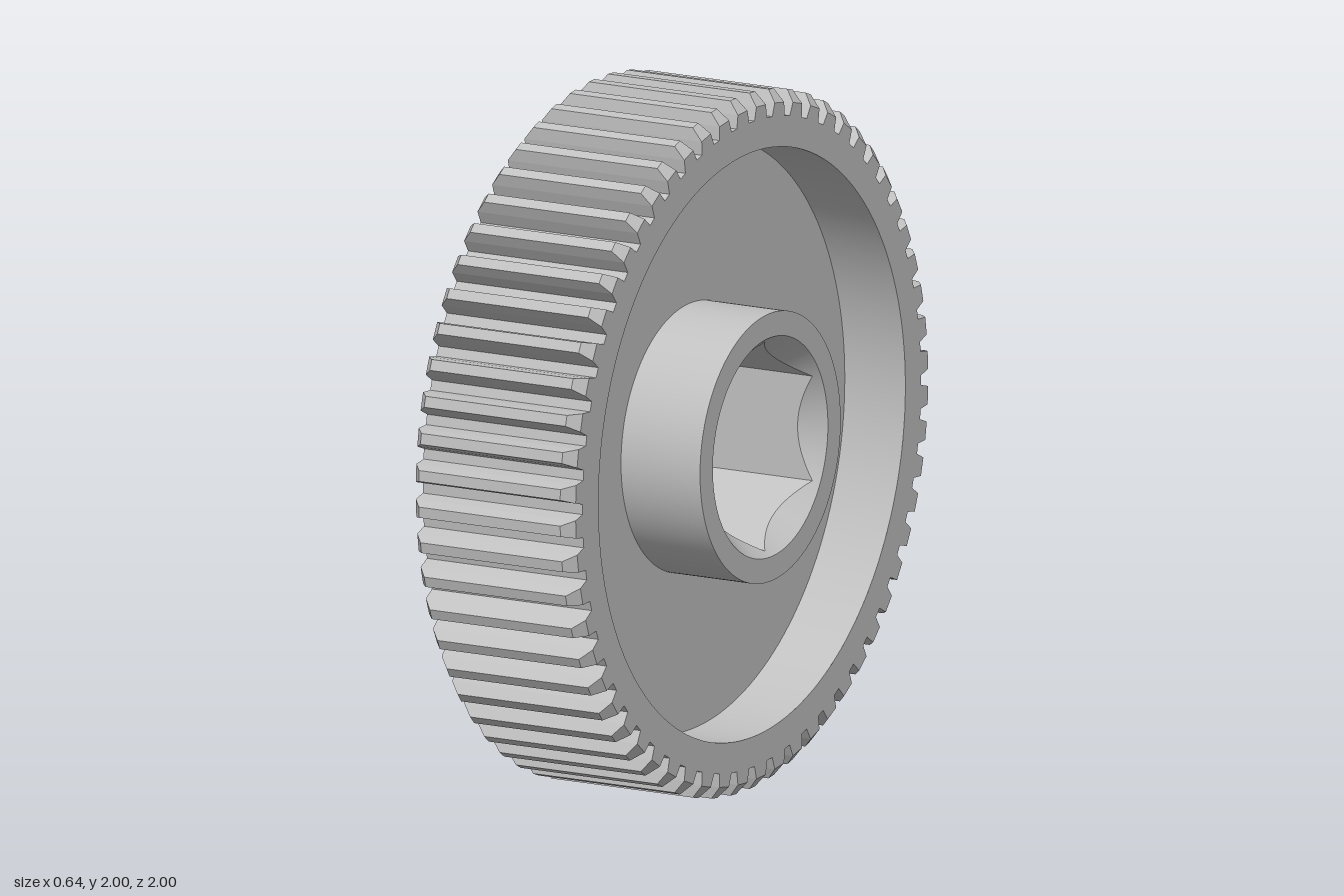
import * as THREE from 'three';
import { toCreasedNormals } from 'three/addons/utils/BufferGeometryUtils.js';

const TEETH = 60, RIM_X = 0.26, CHAMFER = 0.03;
const RECESS_R = 0.84, WEB_X = 0.063;
const HUB_R = 0.385, HUB_X = 0.32, MOUTH_R = 0.315, HEX_FLAT = 0.26;

// Point at radius r and angle t around the x axis
const polar = (r, t, x) => [x, r * Math.cos(t), r * Math.sin(t)];

// Skin over closed rings; rings running toward +x face outward
function loft(rings, crease) {
  const pos = [];
  for (let k = 0; k < rings.length - 1; k++) {
    const a = rings[k], b = rings[k + 1], n = a.length;
    for (let i = 0; i < n; i++) {
      const j = (i + 1) % n;
      pos.push(...a[i], ...a[j], ...b[j], ...a[i], ...b[j], ...b[i]);
    }
  }
  const geo = new THREE.BufferGeometry();
  geo.setAttribute('position', new THREE.Float32BufferAttribute(pos, 3));
  geo.computeVertexNormals();
  return toCreasedNormals(geo, crease);
}

// Ring with a radius and x that may vary with the angle
function ring(radius, x, n = 144) {
  return Array.from({ length: n }, (_, i) => {
    const t = (i / n) * Math.PI * 2;
    const r = typeof radius === 'function' ? radius(t) : radius;
    return polar(r, t, typeof x === 'function' ? x(r) : x);
  });
}

// Tooth outline as [radius, half width]: root, chamfer line, tip
const ROOT = [0.927, 0.034], CUT = [0.965, 0.026], TIP = [1.0, 0.0155];

function toothRing(x, tip, fixedRadius) {
  const pts = [];
  for (let k = 0; k < TEETH; k++) {
    const mid = ((k + 0.5) / TEETH) * Math.PI * 2;
    const add = ([r, w], s) => pts.push(polar(fixedRadius || r, mid + (s * w) / r, x));
    [ROOT, CUT, tip].forEach((p) => add(p, -1));
    [tip, CUT, ROOT].forEach((p) => add(p, 1));
  }
  return pts;
}

export function createModel() {
  const group = new THREE.Group();
  group.name = 'spurGear';
  const steel = new THREE.MeshStandardMaterial({ color: 0xc0c0c0 });
  steel.name = 'light grey';

  const gear = new THREE.Group();
  gear.name = 'gear';
  gear.position.y = 1;
  group.add(gear);

  const part = (parent, name, rings, crease = 0.4) => {
    const mesh = new THREE.Mesh(loft(rings, crease), steel);
    mesh.name = name;
    parent.add(mesh);
  };

  // Teeth with chamfered ends
  part(gear, 'teeth', [
    toothRing(-RIM_X, CUT),
    toothRing(-RIM_X + CHAMFER, TIP),
    toothRing(RIM_X - CHAMFER, TIP),
    toothRing(RIM_X, CUT),
  ], 0.05);

  // Hexagon with corners up and down, and the countersink that meets it
  const hexRadius = (t) => {
    const sector = Math.PI / 3;
    return HEX_FLAT / Math.cos((t % sector) - sector / 2);
  };
  const sinkX = (r) => HUB_X - 1.2 * (MOUTH_R - r);

  // The two sides are identical
  for (const [label, turn] of [['left', 0], ['right', Math.PI]]) {
    const side = new THREE.Group();
    side.name = label + 'Side';
    side.rotation.y = turn;
    gear.add(side);

    part(side, 'rimFace', [toothRing(RIM_X, CUT), toothRing(RIM_X, CUT, RECESS_R)]);
    part(side, 'rimInside', [ring(RECESS_R, RIM_X), ring(RECESS_R, WEB_X)]);
    part(side, 'web', [ring(RECESS_R, WEB_X), ring(HUB_R, WEB_X)]);
    part(side, 'hub', [ring(HUB_R, WEB_X), ring(HUB_R, HUB_X)]);
    part(side, 'hubFace', [ring(HUB_R, HUB_X), ring(MOUTH_R, HUB_X)]);
    part(side, 'countersink', [ring(MOUTH_R, HUB_X), ring(hexRadius, sinkX)]);
    part(side, 'hexBore', [ring(hexRadius, sinkX), ring(hexRadius, 0)]);
  }
  return group;
}
